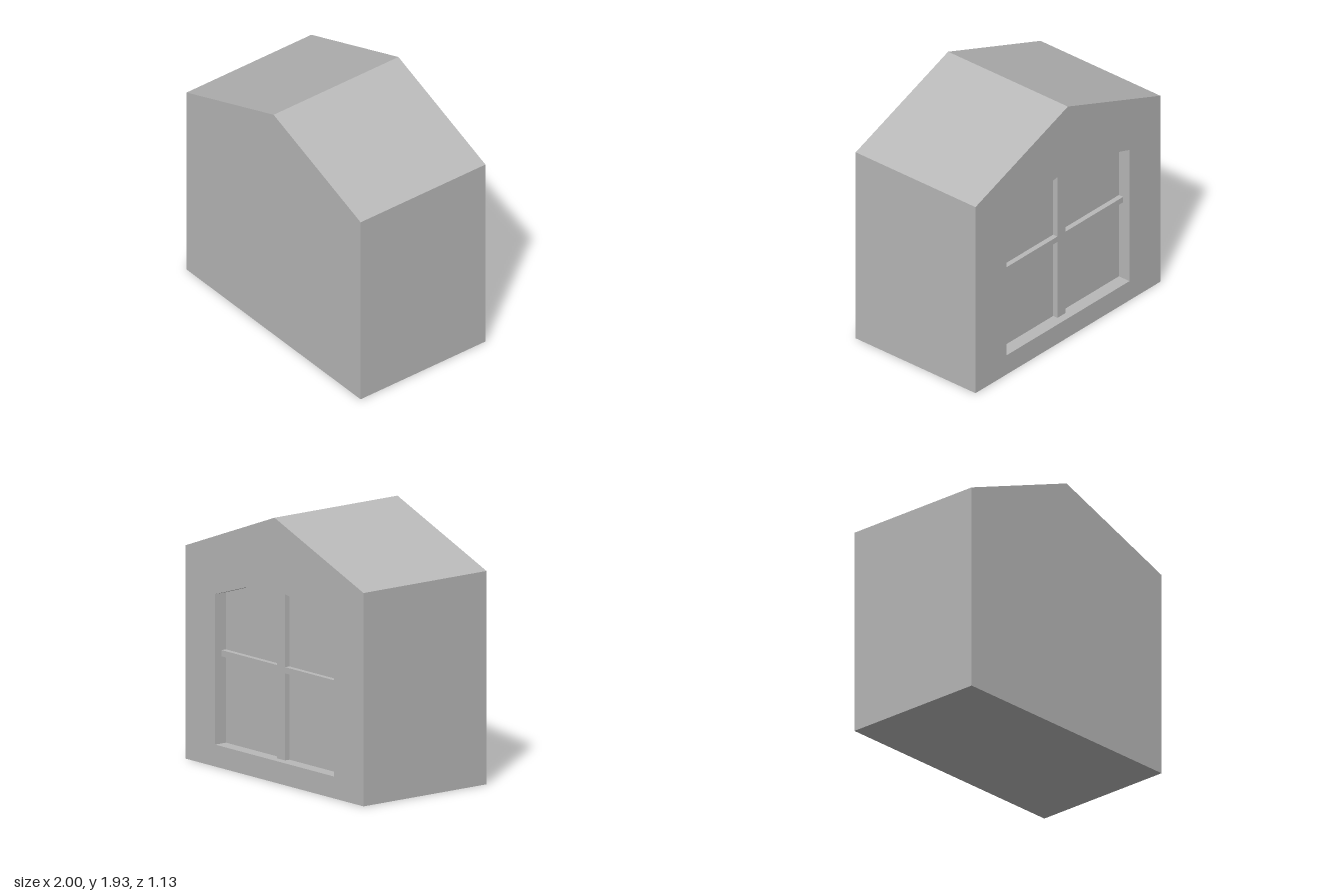
import * as THREE from 'three';

const HALF_DEPTH = 0.565;
const RECESS_Z = -0.465; // plane of the window panes

const toPoints = (list) => list.map(([x, y]) => new THREE.Vector2(x, y));

// Gable outline and arched opening, both anticlockwise and symmetric in x
const gable = toPoints([[-1, 0], [1, 0], [1, 1.555], [0, 1.93], [-1, 1.555]]);
const opening = toPoints([
  [-0.667, 0.16], [0.667, 0.16], [0.667, 1.257], [0.335, 1.362],
  [0, 1.408], [-0.335, 1.362], [-0.667, 1.257],
]);

// Flat strip that sweeps a closed outline from z0 to z1, facing outwards
function band(points, z0, z1) {
  const positions = [];
  points.forEach((p, i) => {
    const q = points[(i + 1) % points.length];
    positions.push(
      p.x, p.y, z0, q.x, q.y, z0, q.x, q.y, z1,
      p.x, p.y, z0, q.x, q.y, z1, p.x, p.y, z1,
    );
  });
  const geometry = new THREE.BufferGeometry();
  geometry.setAttribute('position', new THREE.Float32BufferAttribute(positions, 3));
  geometry.computeVertexNormals();
  return geometry;
}

// Flat face at depth z; symmetric outlines are simply turned to face the back
function face(shape, z, facesBack) {
  const geometry = new THREE.ShapeGeometry(shape);
  if (facesBack) geometry.rotateY(Math.PI);
  return geometry.translate(0, 0, z);
}

export function createModel() {
  const group = new THREE.Group();
  const grey = new THREE.MeshStandardMaterial({ color: 0xb8b8b8 });
  grey.name = 'plain grey';

  const add = (name, geometry) => {
    const mesh = new THREE.Mesh(geometry, grey);
    mesh.name = name;
    group.add(mesh);
  };

  // House body
  const backShape = new THREE.Shape(gable);
  backShape.holes.push(new THREE.Path(opening));
  add('frontWall', face(new THREE.Shape(gable), HALF_DEPTH, false));
  add('backWall', face(backShape, -HALF_DEPTH, true));
  add('sidesRoofAndFloor', band(gable, -HALF_DEPTH, HALF_DEPTH));

  // Recessed arched window
  add('windowReveal', band([...opening].reverse(), -HALF_DEPTH, RECESS_Z));
  add('windowPanes', face(new THREE.Shape(opening), RECESS_Z, true));

  // Glazing bars: one cross whose upright meets the arch
  const w = 0.045;
  const bars = new THREE.Shape(toPoints([
    [-w, 0.16], [w, 0.16], [w, 0.795], [0.667, 0.795], [0.667, 0.84], [w, 0.84],
    [w, 1.402], [0, 1.408], [-w, 1.402],
    [-w, 0.84], [-0.667, 0.84], [-0.667, 0.795], [-w, 0.795],
  ]));
  const barGeometry = new THREE.ExtrudeGeometry(bars, { depth: 0.04, bevelEnabled: false });
  add('glazingBars', barGeometry.translate(0, 0, RECESS_Z - 0.04));

  return group;
}
